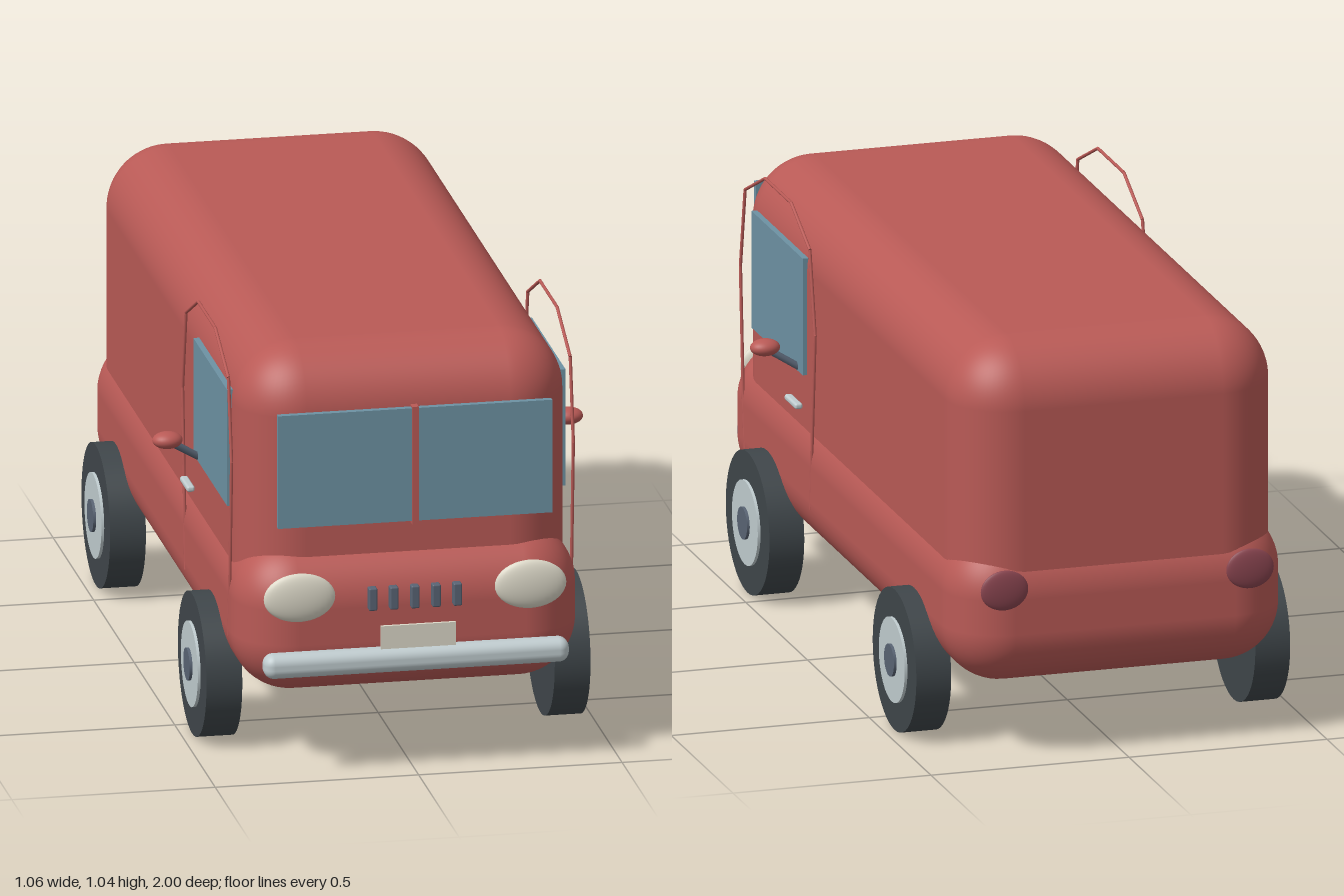
import * as THREE from 'three';
import { RoundedBoxGeometry } from 'three/addons/geometries/RoundedBoxGeometry.js';

const material = (name, color) => {
  const m = new THREE.MeshStandardMaterial({ color });
  m.name = name;
  return m;
};

export function createModel() {
  const van = new THREE.Group();
  van.name = 'van';

  const red = material('body red', 0xb95a56);
  const glass = material('window blue', 0x6d92a3);
  const rubber = material('tyre dark grey', 0x3f464a);
  const chrome = material('chrome', 0xc0cccf);
  const cream = material('lamp cream', 0xdcd8c8);
  const steel = material('dark steel', 0x596474);
  const maroon = material('tail lamp maroon', 0x8a4550);

  const add = (name, geometry, mat, x, y, z) => {
    const mesh = new THREE.Mesh(geometry, mat);
    mesh.name = name;
    mesh.position.set(x, y, z);
    van.add(mesh);
    return mesh;
  };
  const box = (w, h, d) => new THREE.BoxGeometry(w, h, d);
  const rounded = (w, h, d, r, seg = 3) => new RoundedBoxGeometry(w, h, d, seg, r);
  const ellipsoid = (rx, ry, rz) => new THREE.SphereGeometry(1, 32, 20).scale(rx, ry, rz);

  // Straight round bar between two points
  const bar = (name, a, b, radius, mat) => {
    const from = new THREE.Vector3(...a);
    const dir = new THREE.Vector3(...b).sub(from);
    const mesh = add(name, new THREE.CylinderGeometry(radius, radius, dir.length(), 10), mat, 0, 0, 0);
    mesh.position.copy(from).addScaledVector(dir, 0.5);
    mesh.quaternion.setFromUnitVectors(new THREE.Vector3(0, 1, 0), dir.normalize());
  };

  // Body shells
  add('upperBody', rounded(0.81, 0.787, 1.84, 0.155, 8), red, 0, 0.6435, -0.04);
  add('lowerBody', rounded(0.845, 0.377, 1.916, 0.145, 8), red, 0, 0.3685, -0.018);

  // Windscreen with centre divider
  add('windscreen', box(0.674, 0.285, 0.016), glass, 0, 0.773, 0.95);
  add('windscreenDivider', box(0.016, 0.298, 0.024), red, 0, 0.771, 0.95);

  // Front fittings
  for (let i = -2; i <= 2; i++) {
    add('grilleSlot', rounded(0.021, 0.057, 0.024, 0.004), steel, i * 0.052, 0.438, 0.952);
  }
  add('numberPlate', box(0.184, 0.058, 0.008), cream, 0, 0.352, 0.994);
  add('bumper', rounded(0.75, 0.06, 0.06, 0.025, 5), chrome, 0, 0.286, 0.963);

  // Half outline of each door, from the front foot over the top to the rear foot
  const doorLine = [
    [0.305, 0.762], [0.444, 0.778], [0.754, 0.8], [0.957, 0.762], [1.032, 0.6],
    [1.032, 0.388], [0.957, 0.238], [0.754, 0.195], [0.444, 0.222], [0.305, 0.233],
  ];

  for (const s of [1, -1]) {
    // Lamps
    add('headlight', ellipsoid(0.088, 0.061, 0.02), cream, s * 0.284, 0.452, 0.955);
    add('tailLight', ellipsoid(0.06, 0.05, 0.012), maroon, s * 0.31, 0.444, -0.986);

    // Door
    add('sideWindow', box(0.016, 0.294, 0.416), glass, s * 0.408, 0.767, 0.516);
    add('doorHandle', rounded(0.02, 0.015, 0.09, 0.006), chrome, s * 0.434, 0.551, 0.325);
    for (let i = 1; i < doorLine.length; i++) {
      const [a, b] = [doorLine[i - 1], doorLine[i]];
      bar('doorOutline', [s * 0.42, ...a], [s * 0.42, ...b], 0.004, red);
    }

    // Wing mirror
    bar('mirrorArm', [s * 0.395, 0.618, 0.352], [s * 0.49, 0.677, 0.37], 0.009, steel);
    add('mirror', ellipsoid(0.037, 0.021, 0.03), red, s * 0.492, 0.68, 0.37);

    // Wheels
    for (const z of [0.575, -0.615]) {
      const disc = (name, r, width, x, mat) => add(
        name, new THREE.CylinderGeometry(r, r, width, 48).rotateZ(Math.PI / 2), mat, s * x, 0.177, z);
      disc('tyre', 0.177, 0.088, 0.428, rubber);
      disc('wheelDisc', 0.105, 0.02, 0.469, chrome);
      disc('wheelHub', 0.04, 0.02, 0.476, steel);
    }
  }
  return van;
}
